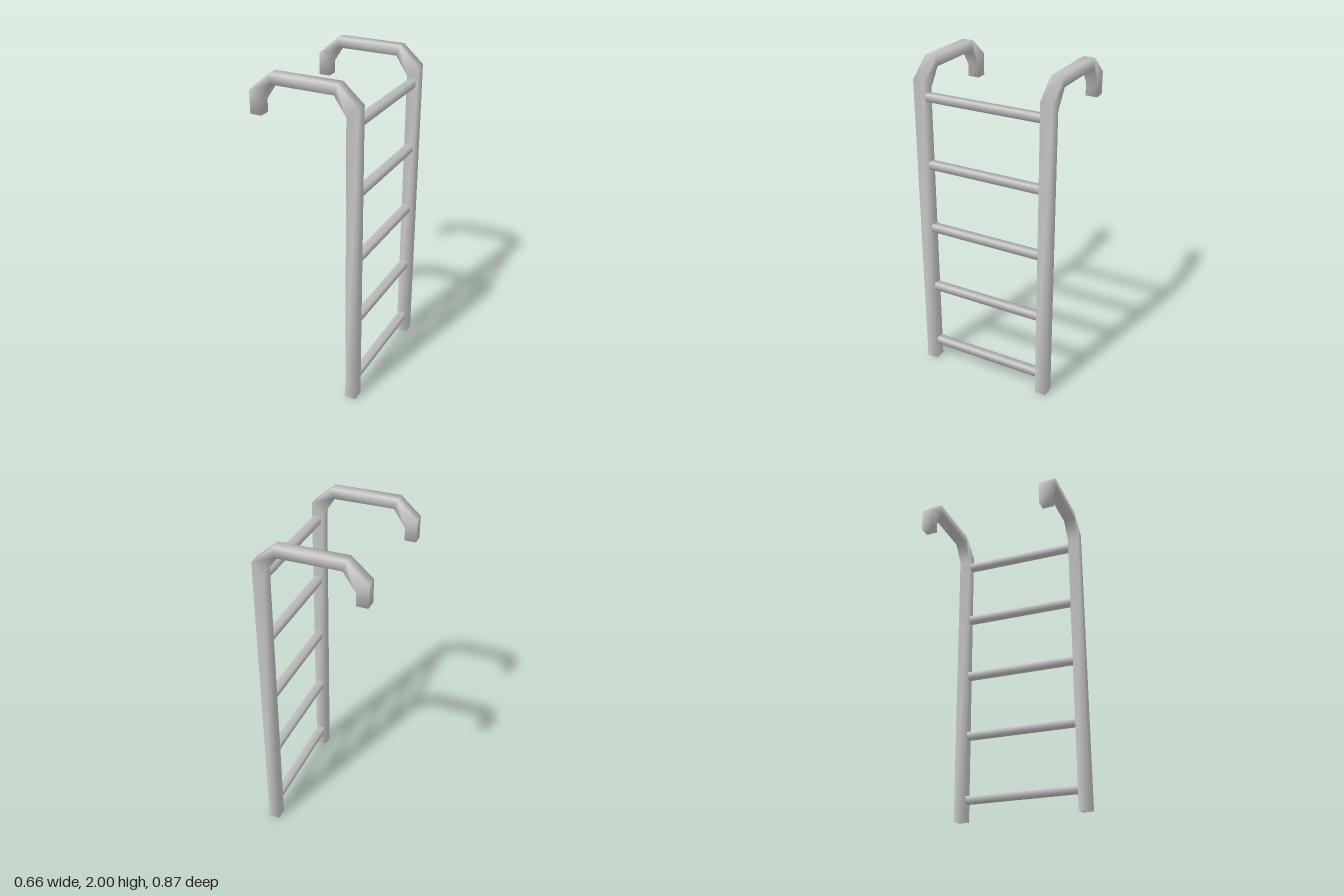
import * as THREE from 'three';
import { mergeVertices } from 'three/addons/utils/BufferGeometryUtils.js';

const material = new THREE.MeshStandardMaterial({ color: 0xcccccc });

// Square tube swept through mitred stations: [outer x, outer y, inner x, inner y]
function railGeometry(halfWidth) {
  const right = [
    [0.33, 0, 0.26, 0],
    [0.33, 1.89, 0.26, 1.83],
    [0.205, 2, 0.188, 1.94],
  ];
  const left = right.map(([a, b, c, d]) => [-a, b, -c, d]).reverse();
  left[2][1] = left[2][3] = 1.753; // short hook end
  const stations = [...right, ...left];

  const positions = [];
  const index = [];
  stations.forEach(([ox, oy, ix, iy], s) => {
    const w = halfWidth;
    positions.push(ox, oy, w, ix, iy, w, ix, iy, -w, ox, oy, -w);
    if (s === 0) return;
    for (let k = 0; k < 4; k++) {
      const a = (s - 1) * 4 + k;
      const b = (s - 1) * 4 + ((k + 1) % 4);
      index.push(b, a, a + 4, b, a + 4, b + 4);
    }
  });
  // End caps share the side vertices for soft shading
  const e = (stations.length - 1) * 4;
  index.push(0, 1, 2, 0, 2, 3, e + 2, e + 1, e, e + 3, e + 2, e);

  const geometry = new THREE.BufferGeometry();
  geometry.setAttribute('position', new THREE.Float32BufferAttribute(positions, 3));
  geometry.setIndex(index);
  geometry.computeVertexNormals();
  return geometry;
}

// Square bar with welded corners for soft shading
function rungGeometry(thickness, length) {
  const box = new THREE.BoxGeometry(thickness, thickness, length);
  box.deleteAttribute('normal');
  box.deleteAttribute('uv');
  const geometry = mergeVertices(box);
  geometry.computeVertexNormals();
  return geometry;
}

export function createModel() {
  const ladder = new THREE.Group();
  ladder.name = 'ladder';

  // Two side rails with hooked handles
  const rail = railGeometry(0.036);
  for (const side of [1, -1]) {
    const mesh = new THREE.Mesh(rail, material);
    mesh.name = side > 0 ? 'frontRail' : 'backRail';
    mesh.position.z = side * 0.398;
    ladder.add(mesh);
  }

  // Five evenly spaced rungs
  const rung = rungGeometry(0.045, 0.74);
  for (let i = 0; i < 5; i++) {
    const mesh = new THREE.Mesh(rung, material);
    mesh.name = `rung${i + 1}`;
    mesh.position.set(0.295, 0.13 + i * 0.415, 0);
    ladder.add(mesh);
  }
  return ladder;
}
